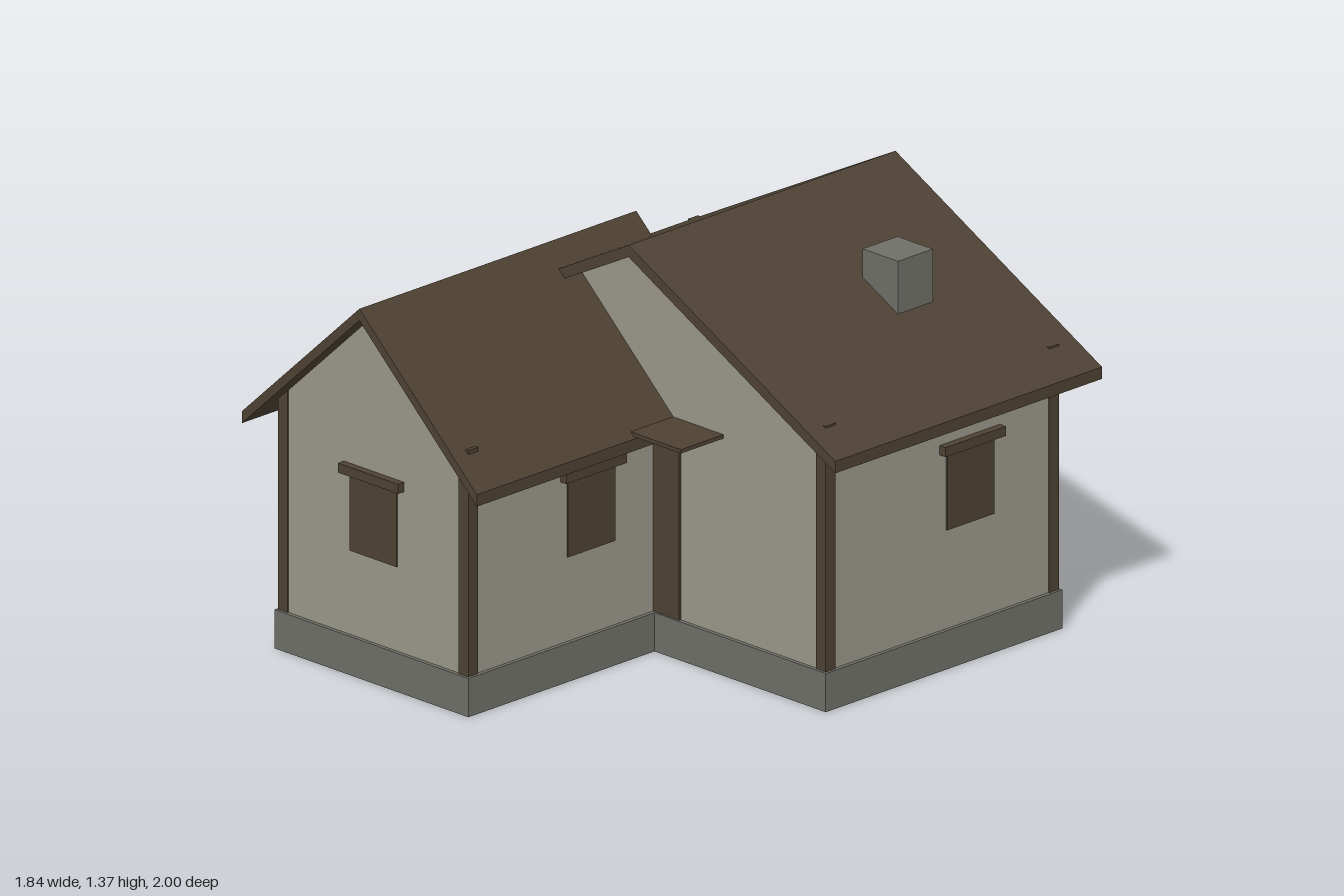
import * as THREE from 'three';

const mat = (name, color) => {
  const m = new THREE.MeshStandardMaterial({ color });
  m.name = name;
  return m;
};

export function createModel() {
  const house = new THREE.Group();
  house.name = 'house';
  const plaster = mat('plaster', 0x9a9789);
  const stone = mat('stone', 0x6e6f67);
  const wood = mat('dark wood', 0x4d4133);
  stone.side = THREE.DoubleSide;

  const add = (parent, name, geometry, material) => {
    const m = new THREE.Mesh(geometry, material);
    m.name = name;
    parent.add(m);
    return m;
  };
  // Box given by its minimum and maximum corners
  const box = (parent, name, a, b, material) => {
    const g = new THREE.BoxGeometry(b[0] - a[0], b[1] - a[1], b[2] - a[2]);
    g.translate((a[0] + b[0]) / 2, (a[1] + b[1]) / 2, (a[2] + b[2]) / 2);
    return add(parent, name, g, material);
  };
  // Outline in x, y drawn out from z0 to z1
  const prism = (parent, name, points, z0, z1, material) => {
    const shape = new THREE.Shape(points.map((p) => new THREE.Vector2(...p)));
    const g = new THREE.ExtrudeGeometry(shape, { depth: z1 - z0, bevelEnabled: false });
    g.translate(0, 0, z0);
    return add(parent, name, g, material);
  };

  // One gabled block: hollow plinth, walls, corner posts and roof
  const block = (name, o) => {
    const group = new THREE.Group();
    group.name = name;
    house.add(group);
    const { cx, half, z0, z1, ridge, eave, roofHalf, roofZ, postTop } = o;
    const t = 0.04;
    const slope = (ridge - eave) / roofHalf;

    const plinth = box(group, 'plinth', [cx - half - 0.012, 0, z0 - 0.012], [cx + half + 0.012, 0.13, z1 + 0.012], stone);
    const index = Array.from(plinth.geometry.index.array);
    index.splice(18, 6); // open underside
    plinth.geometry.setIndex(index);
    plinth.geometry.clearGroups();

    const wallTop = ridge - t - slope * half;
    prism(group, 'walls', [
      [cx - half, 0.131], [cx + half, 0.131], [cx + half, wallTop],
      [cx, ridge - t], [cx - half, wallTop],
    ], z0, z1, plaster);

    prism(group, 'roof', [
      [cx - roofHalf, eave - t], [cx, ridge - t], [cx + roofHalf, eave - t],
      [cx + roofHalf, eave], [cx, ridge], [cx - roofHalf, eave],
    ], roofZ[0], roofZ[1], wood);

    const e = 0.004, w = 0.043;
    for (const x of [cx - half - e, cx + half + e - w])
      for (const z of [z0 - e, z1 + e - w])
        box(group, 'cornerPost', [x, 0.131, z], [x + w, postTop, z + w], wood);
    return group;
  };

  const main = block('mainHouse', {
    cx: 0, half: 0.8, z0: -0.92, z1: 0.108, ridge: 1.37, eave: 0.89,
    roofHalf: 0.92, roofZ: [-1, 0.185], postTop: 0.957,
  });
  const wing = block('frontWing', {
    cx: -0.382, half: 0.42, z0: -0.18, z1: 0.935, ridge: 1.272, eave: 0.787,
    roofHalf: 0.523, roofZ: [-0.23, 1], postTop: 0.892,
  });

  // Shuttered window with a lintel, facing along the given turn about y
  const windowAt = (parent, x, y, z, turn) => {
    const g = new THREE.Group();
    g.name = 'window';
    box(g, 'shutter', [-0.105, y, -0.003], [0.105, y + 0.262, 0.005], wood);
    box(g, 'lintel', [-0.134, y + 0.26, -0.01], [0.134, y + 0.292, 0.027], wood);
    g.position.set(x, 0, z);
    g.rotation.y = turn;
    parent.add(g);
  };
  const q = Math.PI / 2;
  windowAt(main, 0.8, 0.463, -0.532, q);
  windowAt(main, -0.8, 0.463, -0.28, -q);
  windowAt(main, 0, 0.463, -0.92, Math.PI);
  windowAt(wing, -0.382, 0.415, 0.935, 0);
  windowAt(wing, 0.038, 0.415, 0.392, q);

  // Entrance in the inner corner
  box(main, 'door', [-0.05, 0.131, 0.1], [0.155, 0.735, 0.115], wood);
  box(main, 'doorLintel', [-0.11, 0.76, 0.1], [0.22, 0.792, 0.14], wood);
  box(main, 'doorCanopy', [-0.2, 0.792, 0.1], [0.345, 0.805, 0.297], wood);

  box(main, 'chimney', [0.365, 0.95, -0.645], [0.522, 1.275, -0.49], stone);
  return house;
}
